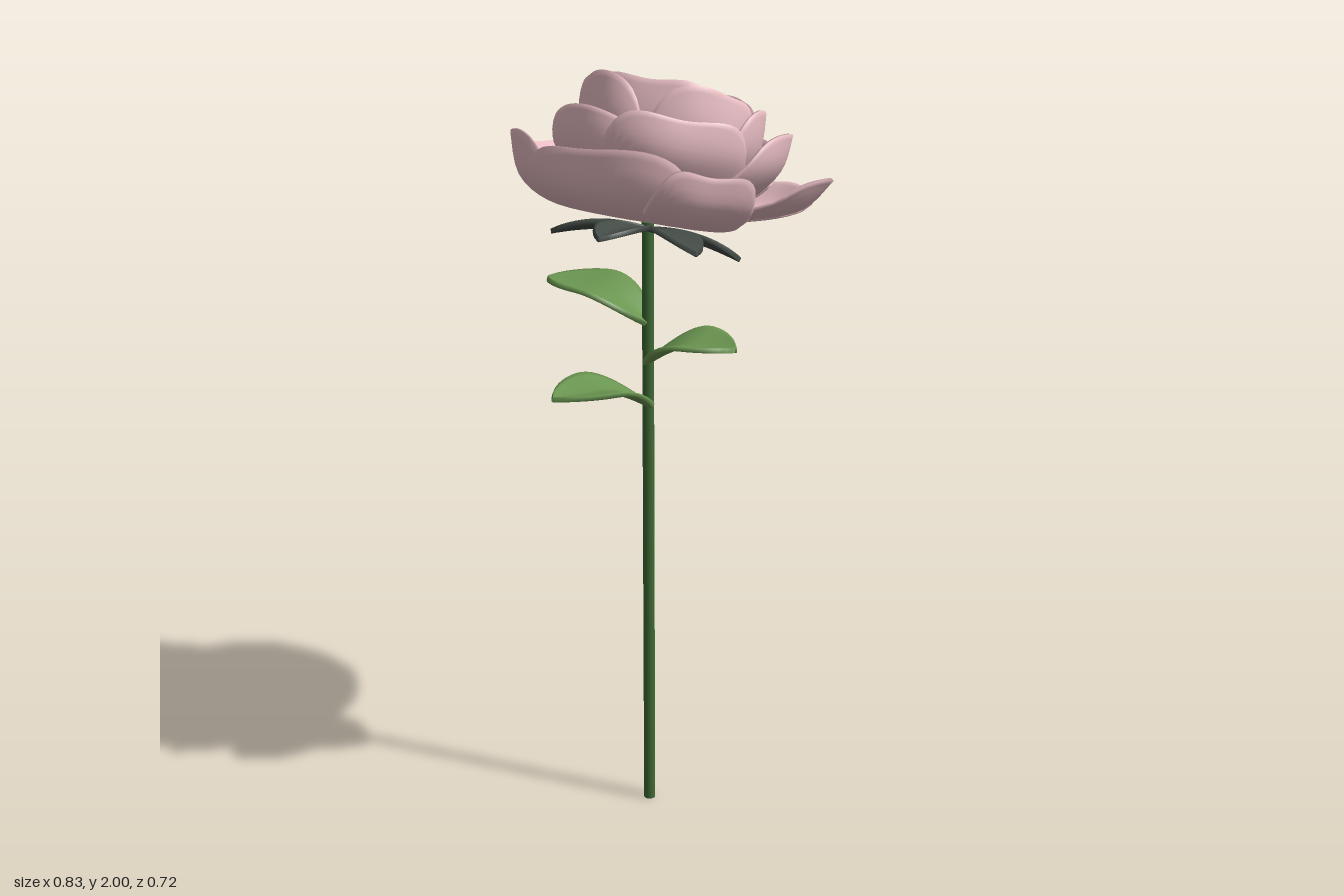
import * as THREE from 'three';

const material = (color) => new THREE.MeshStandardMaterial({ color, side: THREE.DoubleSide });
const rad = THREE.MathUtils.degToRad;

// Thick soft-edged sheet from a rule: point(u, v) with u in -1..1 across and v in 0..1 along
function sheet(name, mat, nu, nv, thickness, point) {
  const pos = [], index = [], row = nu + 1, count = row * (nv + 1);
  for (let j = 0; j <= nv; j++) {
    for (let i = 0; i <= nu; i++) pos.push(...point((i / nu) * 2 - 1, j / nv));
  }
  const quad = (a, b, c, d) => index.push(a, b, d, d, b, c);
  for (let j = 0; j < nv; j++) {
    for (let i = 0; i < nu; i++) {
      const a = j * row + i;
      quad(a, a + row, a + row + 1, a + 1);
    }
  }
  const g = new THREE.BufferGeometry();
  g.setAttribute('position', new THREE.Float32BufferAttribute(pos, 3));
  g.setIndex(index);
  g.computeVertexNormals();

  // second skin, pushed inward along the normals
  const normals = g.attributes.normal.array;
  const skin = pos.map((p, k) => p - normals[k] * thickness);
  for (const k of index.slice().reverse()) index.push(k + count);

  // border between the two skins
  const border = (a, b) => quad(a, a + count, b + count, b);
  for (let i = 0; i < nu; i++) {
    border(i + 1, i);
    border(nv * row + i, nv * row + i + 1);
  }
  for (let j = 0; j < nv; j++) {
    border(j * row, (j + 1) * row);
    border((j + 1) * row + nu, j * row + nu);
  }
  g.setAttribute('position', new THREE.Float32BufferAttribute([...pos, ...skin], 3));
  g.deleteAttribute('normal');
  g.setIndex(index);
  g.computeVertexNormals();
  const mesh = new THREE.Mesh(g, mat);
  mesh.name = name;
  return mesh;
}

// Cupped petal: a radius/height profile swept round the flower axis, with a rounded, rippled rim
function petal(name, mat, profile, { angle, half, scale = 1, lift = 1, curl, ripple = 0.007, thickness = 0.007 }) {
  const curve = new THREE.SplineCurve(profile.map(([r, h]) => new THREE.Vector2(r, h)));
  return sheet(name, mat, 24, 16, thickness, (u, v) => {
    const p = curve.getPoint(v * (1 - 0.45 * Math.abs(u) ** 4));
    const wave = ripple * Math.sin(u * 5 + angle) * v * v;
    const r = p.x * scale * (1 + 0.05 * u) + curl * v ** 6 + wave;
    const a = rad(angle) + rad(half) * u;
    return [r * Math.cos(a), p.y * lift + wave, r * Math.sin(a)];
  });
}

// Blade along +x, folded along its middle; tip shifts the widest point
function blade(name, mat, { length, width, fold, height, tip }) {
  return sheet(name, mat, 12, 20, 0.012, (u, v) => {
    const w = Math.sin(Math.PI * (0.04 + 0.955 * v ** tip)) ** 0.7;
    return [length * v, height(v) + fold * Math.abs(u) ** 1.3 * w, width * w * u];
  });
}

export function createModel() {
  const model = new THREE.Group();
  model.name = 'flower';
  const pink = material(0xebc0c6), yellow = material(0xd6b828);
  const green = material(0x6b9651), stemGreen = material(0x3f6a35), dark = material(0x454d48);

  // Stem
  const stem = new THREE.Mesh(new THREE.CylinderGeometry(0.015, 0.015, 1.61, 16), stemGreen);
  stem.name = 'stem';
  stem.position.set(-0.025, 0.805, 0.07);
  model.add(stem);

  // Leaves: height on the stem, heading, length
  [[1.34, 180, 0.295], [1.235, 0, 0.25], [1.12, 116, 0.285]].forEach(([y, heading, length]) => {
    const leaf = blade('leaf', green, {
      length, width: 0.095, fold: 0.022, tip: 1,
      height: (v) => 0.064 * Math.sin(Math.min(1, v / 0.55) * Math.PI / 2) + 0.01 * v ** 3,
    });
    leaf.position.set(-0.025, y, 0.07);
    leaf.rotation.y = -rad(heading);
    model.add(leaf);
  });

  // Sepals, leaning with the flower
  const tilt = -rad(18);
  const sepals = new THREE.Group();
  sepals.name = 'sepals';
  sepals.position.set(-0.025, 1.583, 0.07);
  sepals.rotation.x = tilt;
  for (let i = 0; i < 6; i++) {
    const sepal = blade('sepal', dark, {
      length: 0.235, width: 0.062, fold: 0.014, tip: 1.25,
      height: (v) => -0.04 * v * v,
    });
    sepal.rotation.y = -rad(30 + i * 60);
    sepals.add(sepal);
  }
  model.add(sepals);

  // Flower head, leaning back
  const head = new THREE.Group();
  head.name = 'flowerHead';
  head.position.set(-0.012, 1.592, 0.05);
  head.rotation.x = tilt;
  model.add(head);

  const outerFront = [[0.015, 0.01], [0.15, 0.01], [0.27, 0.025], [0.35, 0.075], [0.385, 0.165]];
  const outerBack = [[0.015, 0.01], [0.2, 0.05], [0.33, 0.1], [0.385, 0.18]];
  const middle = [[0.02, 0.015], [0.19, 0.08], [0.285, 0.18], [0.305, 0.28]];
  const upper = [[0.02, 0.04], [0.13, 0.11], [0.2, 0.23], [0.21, 0.355]];
  const inner = [[0.02, 0.08], [0.1, 0.14], [0.14, 0.24], [0.145, 0.315]];
  const heart = [[0.01, 0.1], [0.06, 0.16], [0.085, 0.23], [0.1, 0.285]];

  // Each row: angle, half spread, radius scale, height scale
  const rings = [
    ['outerPetal', outerFront, 0, [[85, 46, 0.98, 0.98], [148, 42, 1.02, 1.08], [42, 26, 0.98, 0.85]]],
    ['outerPetal', outerBack, 0.004, [[188, 32, 1.05, 0.95], [254, 38, 0.98, 0.9], [304, 34, 0.98, 0.85],
      [347, 32, 1.07, 0.95]]],
    ['middlePetal', middle, -0.003, [[55, 46, 0.92, 0.95], [115, 46, 0.95, 0.92], [195, 48, 0.98, 0.92],
      [266, 46, 1.04, 0.98], [340, 44, 0.98, 0.95]]],
    ['upperPetal', upper, -0.003, [[80, 58, 1, 1], [122, 46, 1.1, 0.98], [38, 44, 1.13, 0.96],
      [195, 46, 1.1, 0.9], [285, 40, 1, 0.98], [240, 36, 1.08, 0.9], [345, 42, 1.13, 0.88]]],
    ['innerPetal', inner, 0.004, [[265, 54, 1, 1], [15, 46, 0.85, 0.95], [95, 56, 1, 1.08], [170, 48, 0.9, 1]]],
    ['heartPetal', heart, 0.004, [[215, 46, 1, 1], [315, 46, 1, 1], [60, 50, 0.9, 1], [130, 50, 0.95, 1.04]]],
  ];
  rings.forEach(([name, profile, curl, rows]) => rows.forEach(([angle, half, scale, lift]) => {
    head.add(petal(name, pink, profile, { angle, half, scale, lift, curl }));
  }));

  // Yellow centre: two small nested cups
  [[0.054, 0.26, 0], [0.032, 0.24, 36]].forEach(([r, h, turn]) => {
    const cup = [[0.006, h - 0.09], [r * 0.7, h - 0.06], [r, h - 0.02], [r, h]];
    for (let i = 0; i < 5; i++) {
      head.add(petal('centrePetal', yellow, cup, {
        angle: turn + i * 72, half: 44, curl: 0.004, ripple: 0.002, thickness: 0.002,
      }));
    }
  });

  return model;
}
